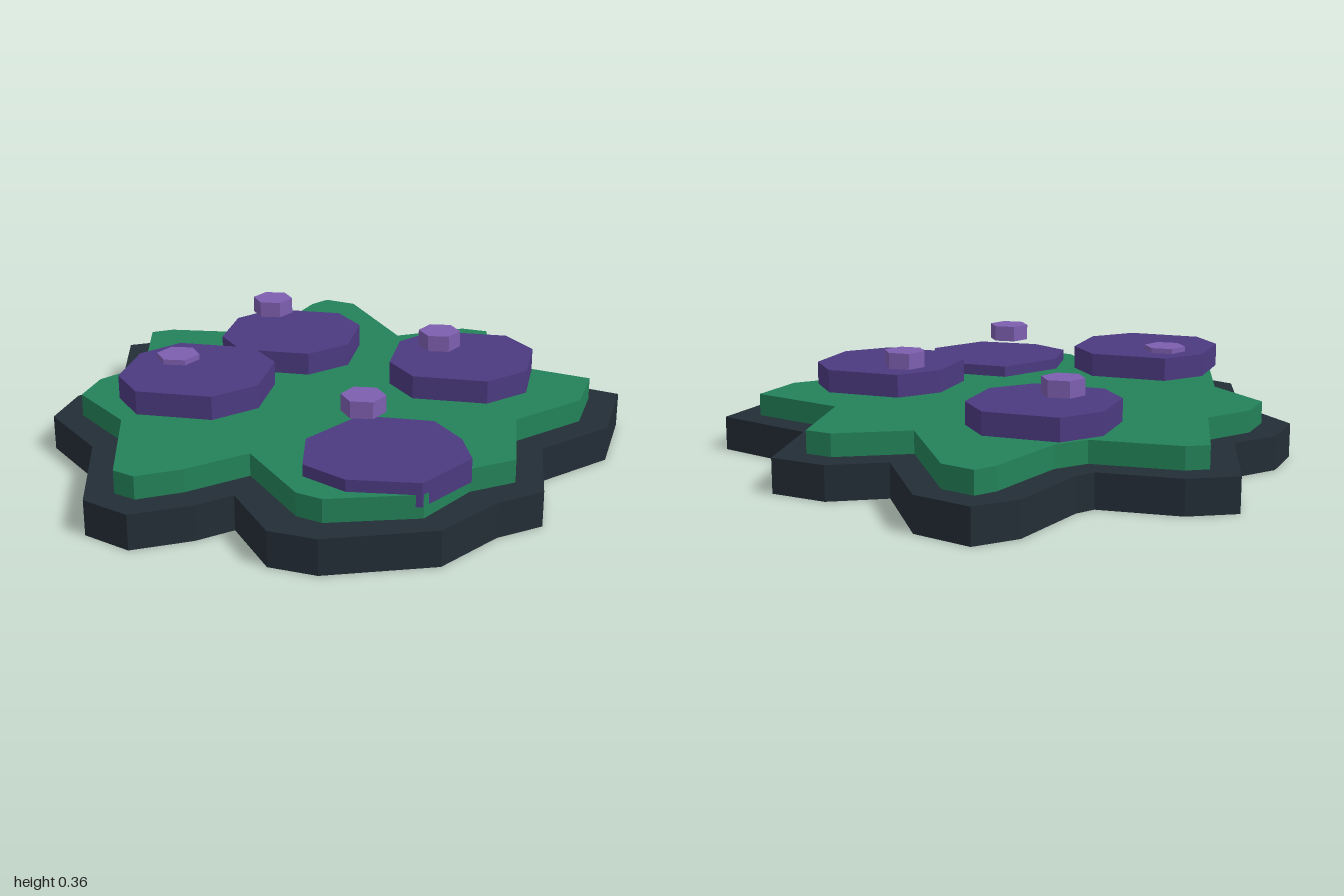
import * as THREE from 'three';
import { mergeGeometries } from 'three/addons/utils/BufferGeometryUtils.js';

const mat = (name, color) => {
  const m = new THREE.MeshStandardMaterial({ color, side: THREE.DoubleSide, flatShading: true });
  m.name = name;
  return m;
};

// Outlines as [x, z], clockwise seen from above
const RIM = [
  [-0.18, -1], [0.01, -0.93], [0.19, -0.615], [0.37, -0.7], [0.56, -0.66], [0.595, -0.325],
  [0.94, -0.19], [0.885, 0.115], [0.67, 0.31], [0.67, 0.625], [0.535, 0.715], [0.38, 0.91],
  [0.04, 1], [-0.11, 0.965], [-0.24, 0.75], [-0.345, 0.83], [-0.525, 0.91], [-0.675, 0.83],
  [-0.75, 0.45], [-0.945, 0.22], [-0.915, 0.03], [-0.795, -0.1], [-0.86, -0.495],
  [-0.705, -0.565], [-0.435, -0.565], [-0.39, -0.62], [-0.295, -0.895],
];
const PAD = [
  [-0.16, -0.895], [-0.05, -0.855], [0.15, -0.5], [0.385, -0.605], [0.475, -0.585], [0.51, -0.25],
  [0.835, -0.135], [0.795, 0.07], [0.585, 0.26], [0.585, 0.57], [0.45, 0.65], [0.325, 0.84],
  [0.04, 0.9], [-0.04, 0.865], [-0.215, 0.61], [-0.39, 0.745], [-0.525, 0.81], [-0.595, 0.775],
  [-0.665, 0.4], [-0.85, 0.2], [-0.825, 0.055], [-0.705, -0.085], [-0.76, -0.44],
  [-0.69, -0.475], [-0.395, -0.475], [-0.31, -0.56], [-0.21, -0.835],
];
const SPOT = [
  [-0.105, -0.235], [0.145, -0.215], [0.235, -0.09], [0.215, 0.12],
  [0.09, 0.23], [-0.15, 0.21], [-0.235, 0.085], [-0.215, -0.12],
];
const FRONT_SPOT = [
  [-0.105, -0.25], [0.13, -0.23], [0.22, -0.1], [0.255, 0.04],
  [0.12, 0.225], [-0.1, 0.225], [-0.235, 0.135], [-0.25, -0.05],
];
const HEX = Array.from({ length: 6 }, (_, i) => {
  const a = (i * Math.PI) / 3;
  return [0.07 * Math.cos(a), 0.07 * Math.sin(a)];
});

// Straight walled cap, open underneath
function cap(name, outline, y0, y1, material, x = 0, z = 0) {
  const shape = new THREE.Shape(outline.map(([px, pz]) => new THREE.Vector2(px, -pz)));
  const top = new THREE.ShapeGeometry(shape).rotateX(-Math.PI / 2).translate(0, y1, 0).toNonIndexed();
  top.deleteAttribute('uv');

  const pos = [];
  outline.forEach(([ax, az], i) => {
    const [bx, bz] = outline[(i + 1) % outline.length];
    pos.push(ax, y0, az, ax, y1, az, bx, y1, bz, ax, y0, az, bx, y1, bz, bx, y0, bz);
  });
  const walls = new THREE.BufferGeometry();
  walls.setAttribute('position', new THREE.Float32BufferAttribute(pos, 3));
  walls.computeVertexNormals();

  const mesh = new THREE.Mesh(mergeGeometries([top, walls]), material);
  mesh.name = name;
  mesh.position.set(x, 0, z);
  return mesh;
}

export function createModel() {
  const dark = mat('dark slate', 0x232d36);
  const green = mat('leaf green', 0x238258);
  const purple = mat('deep purple', 0x4b3a80);
  const lilac = mat('lilac', 0x7c5eae);

  const group = new THREE.Group();
  group.name = 'spottedPad';

  // Dark rim and the green pad set into it
  group.add(cap('rim', RIM, 0, 0.115, dark));
  group.add(cap('pad', PAD, 0.06, 0.19, green));

  // Spots at rising heights: centre x, centre z, bottom y, outline
  const spots = [
    [0.2, 0.62, 0.152, FRONT_SPOT],
    [-0.215, -0.295, 0.19, SPOT],
    [0.4, 0, 0.229, SPOT],
    [-0.43, 0.318, 0.267, SPOT],
  ];
  spots.forEach(([x, z, y, outline], i) => {
    group.add(cap(`spot${i + 1}`, outline, y, y + 0.076, purple, x, z));
    // Small knob, offset to the back right of its spot
    group.add(cap(`knob${i + 1}`, HEX, 0.306, 0.36, lilac, x - 0.08, z - (i === 0 ? 0.1 : 0.088)));
  });
  return group;
}
